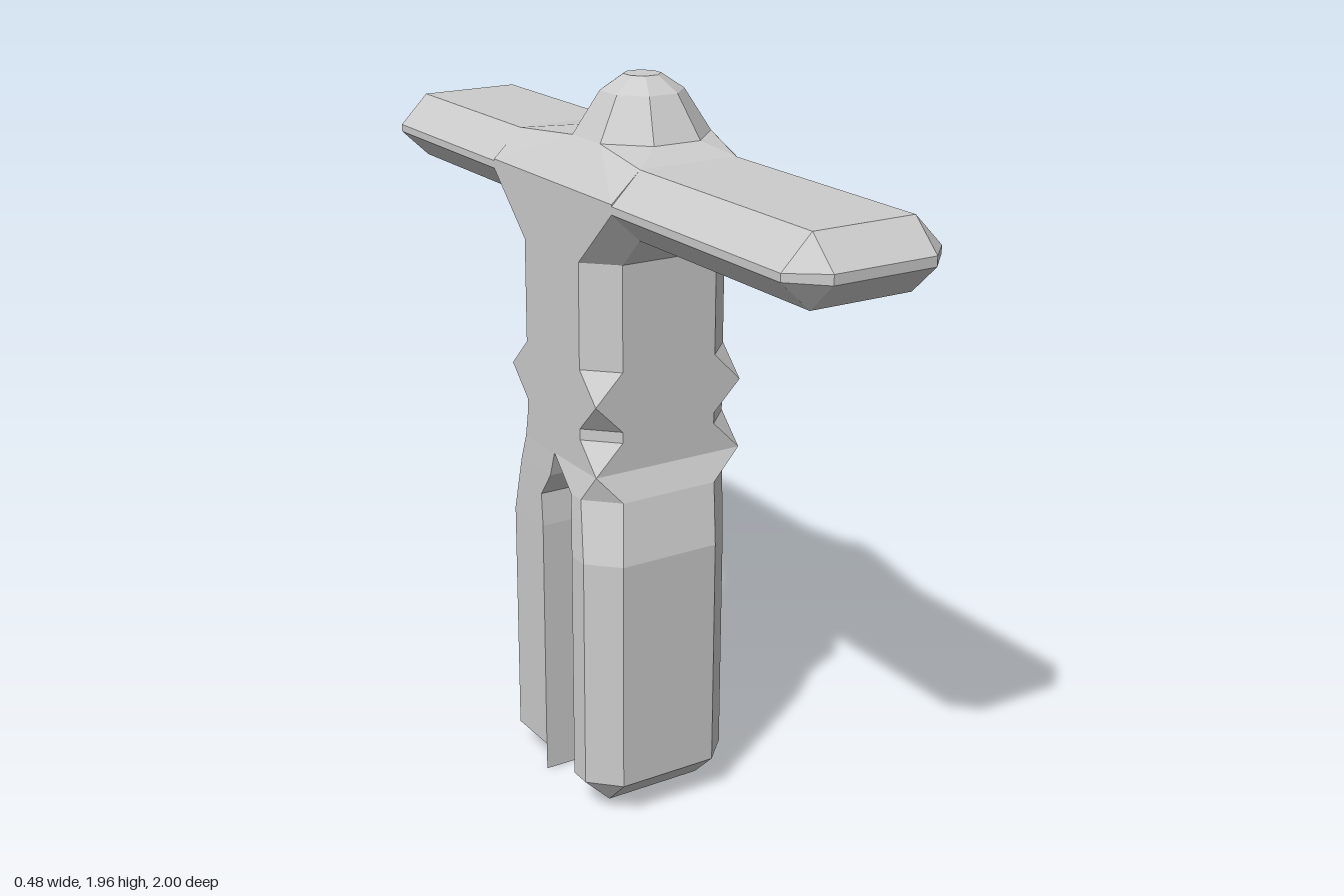
import * as THREE from 'three';
import { ConvexGeometry } from 'three/addons/geometries/ConvexGeometry.js';

const material = new THREE.MeshStandardMaterial({ color: 0xcccccc, flatShading: true });

// Rectangle with cut corners at height y: front cut cf (fx, fz to split it), back cut cb.
function ring(y, x0, x1, zb, zf, cf, cb, fx = cf, fz = cf) {
  return [
    [x1, y, zb + cb], [x1, y, zf - fz], [x1 - fx, y, zf], [x0 + fx, y, zf],
    [x0, y, zf - fz], [x0, y, zb + cb], [x0 + cb, y, zb], [x1 - cb, y, zb],
  ];
}

// Skin rings listed from bottom to top, with both ends capped.
function loft(rings) {
  const pos = [];
  const tri = (a, b, c) => pos.push(...a, ...b, ...c);
  const n = rings[0].length;
  for (let r = 0; r < rings.length - 1; r++) {
    const lo = rings[r], hi = rings[r + 1];
    for (let i = 0; i < n; i++) {
      const j = (i + 1) % n;
      tri(lo[i], hi[i], lo[j]);
      tri(lo[j], hi[i], hi[j]);
    }
  }
  const bottom = rings[0], top = rings[rings.length - 1];
  for (let i = 1; i < n - 1; i++) {
    tri(bottom[0], bottom[i], bottom[i + 1]);
    tri(top[0], top[i + 1], top[i]);
  }
  const g = new THREE.BufferGeometry();
  g.setAttribute('position', new THREE.Float32BufferAttribute(pos, 3));
  g.computeVertexNormals();
  return g;
}

export function createModel() {
  const group = new THREE.Group();
  const add = (name, geometry) => {
    const mesh = new THREE.Mesh(geometry, material);
    mesh.name = name;
    group.add(mesh);
    return mesh;
  };
  const X0 = -0.2, X1 = 0.24, C = 0.08;

  // Torso: cut corners that flare out to sharp points at the waist
  add('torso', loft([
    ring(0.98, X0, X1, -0.295, 0.155, 0, C),
    ring(1.06, X0, X1, -0.28, 0.155, C, C),
    ring(1.09, X0, X1, -0.28, 0.155, C, C),
    ring(1.17, X0, X1, -0.28, 0.155, 0, 0),
    ring(1.25, X0, X1, -0.28, 0.155, C, C),
    ring(1.55, X0, X1, -0.28, 0.155, C, C),
  ]));

  // Front leg: bevelled foot, leaning in to the hip
  add('frontLeg', loft([
    ring(0.03, -0.165, 0.115, 0.095, 0.155, 0, 0),
    ring(0.105, -0.24, 0.195, 0.02, 0.23, 0.075, 0.075),
    ring(0.75, -0.24, 0.195, 0.02, 0.23, 0.075, 0.075),
    ring(0.91, -0.22, 0.22, -0.02, 0.19, 0.08, 0.08),
    ring(0.98, X0, X1, -0.06, 0.155, 0, 0),
  ]));

  // Back leg: flat inner face, bevels only on the outside
  const b0 = -0.205, b1 = 0.23;
  const sole = [
    [b1 - C, 0, -0.28], [b1 - C, 0, -0.2], [b1, 0, -0.12], [b0, 0, -0.12],
    [b0 + C, 0, -0.2], [b0 + C, 0, -0.28], [b0 + C, 0, -0.28], [b1 - C, 0, -0.28],
  ];
  add('backLeg', loft([
    sole,
    ring(0.08, b0, b1, -0.35, -0.12, 0, 0.075, 0, C),
    ring(0.75, b0, b1, -0.35, -0.12, 0, 0.075, 0, C),
    ring(0.84, -0.203, 0.234, -0.33, -0.13, 0, 0.075, 0, C),
    ring(0.91, -0.202, 0.237, -0.315, -0.08, 0, 0.077, 0, C),
    ring(0.98, X0, X1, -0.295, -0.06, 0, C, 0, C),
  ]));

  // Arms: one long bevelled beam, lofted upright and laid along z
  const armRing = (z) => ring(z, X0, X1, -1.785, -1.61, 0.08, 0.08, 0.08, 0.075);
  const armTip = (z) => ring(z, X0 + C, X1 - C, -1.71, -1.685, 0, 0);
  const arms = loft([armTip(-1), armRing(-0.92), armRing(0.92), armTip(1)]);
  add('arms', arms.rotateX(Math.PI / 2));

  // Head: three eight-sided rings with flats facing the axes
  const headRing = (y, r) => {
    const cut = r * (2 - Math.SQRT2);
    return ring(y, 0.055 - r, 0.055 + r, -0.035 - r, -0.035 + r, cut, cut);
  };
  add('head', loft([
    headRing(1.79, 0.17), headRing(1.81, 0.165), headRing(1.92, 0.1), headRing(1.96, 0.045),
  ]));

  // Shoulders: hull joining torso, arm roots and neck
  const points = [
    ...ring(1.53, X0, X1, -0.28, 0.155, C, C),
    ...headRing(1.81, 0.165),
  ];
  for (const z of [0.235, -0.36]) {
    for (const [x, y] of [[X0, 1.685], [X0, 1.71], [X0 + C, 1.61], [X0 + C, 1.785],
      [X1, 1.685], [X1, 1.71], [X1 - C, 1.61], [X1 - C, 1.785]]) points.push([x, y, z]);
  }
  add('shoulders', new ConvexGeometry(points.map((p) => new THREE.Vector3(...p))));

  return group;
}
